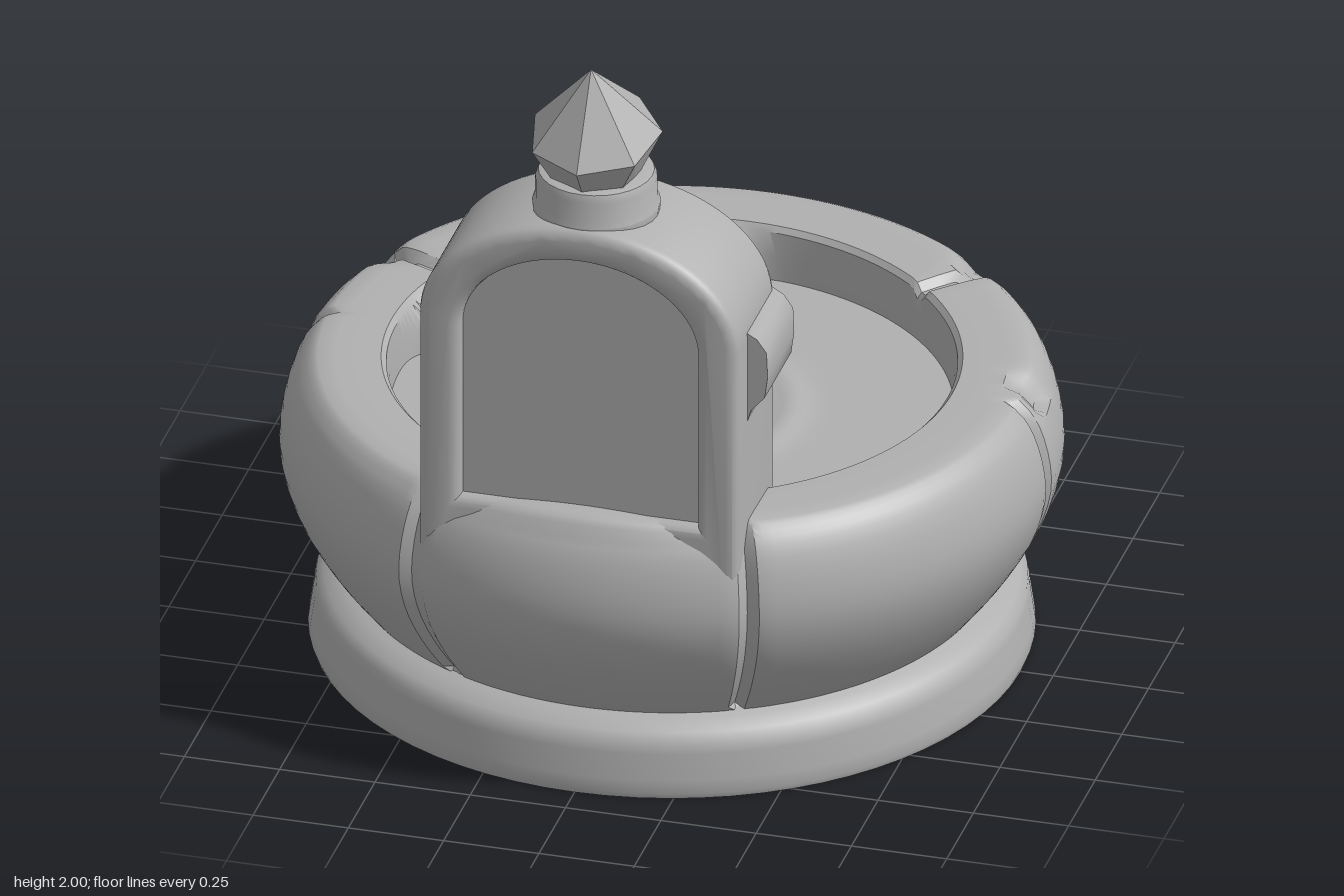
import * as THREE from 'three';
import { mergeVertices, toCreasedNormals } from 'three/addons/utils/BufferGeometryUtils.js';
import { RoundedBoxGeometry } from 'three/addons/geometries/RoundedBoxGeometry.js';

const stone = new THREE.MeshStandardMaterial({ color: 0xb0b0b0 });
stone.name = 'grey stone';

const bump = (d, w) => Math.exp(-(d * d) / (w * w));
const angleGap = (a, b) => Math.atan2(Math.sin(a - b), Math.cos(a - b));

// Lathe with a rule that moves its vertices, then smooth normals with sharp edges kept
function turned(points, segments, rule) {
  let geo = new THREE.LatheGeometry(points.map(([r, y]) => new THREE.Vector2(r, y)), segments);
  geo.deleteAttribute('uv');
  geo.deleteAttribute('normal');
  geo = mergeVertices(geo, 1e-5);
  const pos = geo.attributes.position;
  const v = new THREE.Vector3();
  for (let i = 0; rule && i < pos.count; i++) {
    rule(v.fromBufferAttribute(pos, i));
    pos.setXYZ(i, v.x, v.y, v.z);
  }
  return toCreasedNormals(geo, 0.6);
}

// Round-topped outline
function arch(Type, w, bottom, spring, top) {
  const s = new Type();
  s.moveTo(-w, bottom);
  s.lineTo(w, bottom);
  s.lineTo(w, spring);
  s.absellipse(0, spring, w, top - spring, 0, Math.PI, false, 0);
  s.lineTo(-w, bottom);
  return s;
}

function extrude(shape, depth, bevel, z) {
  const geo = new THREE.ExtrudeGeometry(shape, {
    depth, bevelEnabled: bevel > 0, bevelSize: bevel, bevelThickness: bevel, bevelSegments: 3, curveSegments: 20
  });
  geo.translate(0, 0, z);
  return toCreasedNormals(geo, 0.7);
}

export function createModel() {
  const model = new THREE.Group();
  const add = (name, geo, x = 0, y = 0, z = 0, parent = model) => {
    const mesh = new THREE.Mesh(geo, stone);
    mesh.name = name;
    mesh.position.set(x, y, z);
    parent.add(mesh);
    return mesh;
  };

  // Foot
  add('foot', turned([[0, 0], [0.915, 0], [0.92, 0.015], [0.915, 0.05], [0.905, 0.12], [0.9, 0.145],
    [0.88, 0.17], [0.84, 0.19], [0.8, 0.205]], 72));

  // Basin with cracks between its stone blocks
  const profile = new THREE.CatmullRomCurve3([[0.8, 0.17], [0.83, 0.205], [0.9, 0.3], [0.965, 0.42], [0.992, 0.53],
    [0.98, 0.64], [0.945, 0.73], [0.91, 0.768]].map(([r, y]) => new THREE.Vector3(r, y, 0)))
    .getPoints(20).map(p => [p.x, p.y]);
  profile.push([0.895, 0.775], [0.85, 0.776], [0.79, 0.776], [0.735, 0.774], [0.722, 0.76], [0.715, 0.7], [0.71, 0.58]);
  const cracks = [-0.46, 0.47, Math.PI / 2, -Math.PI / 2, -1.98, 2.37, -2.66];
  const rimCracks = [-1.98, 2.37];
  const chips = [[1.7, 0.06], [-2.66, 0.05], [2.42, 0.05], [-1.95, 0.05]];
  const rubble = [-3.0, -1.85];
  add('basin', turned(profile, 240, v => {
    const r = Math.hypot(v.x, v.z);
    const a = Math.atan2(v.x, v.z);
    let newR = r;
    if (r > 0.82 && v.y > 0.2) for (const c of cracks) newR -= 0.03 * bump(angleGap(a, c), 0.018);
    if (v.y > 0.73) for (const c of rimCracks) v.y -= 0.03 * bump(angleGap(a, c), 0.025);
    if (r > 0.87 && v.y > 0.7) {
      for (const [c, w] of chips) {
        v.y -= 0.022 * bump(angleGap(a, c), w);
        newR -= 0.025 * bump(angleGap(a, c), w);
      }
    }
    if (r < 0.718) for (const c of rubble) newR -= 0.09 * bump(angleGap(a, c), 0.12);
    if (v.y > 0.75 && r > 0.82) v.y += 0.02 * bump(a, 0.35);
    v.x *= newR / r;
    v.z *= newR / r;
  }));

  // Water surface with rings around the stream
  const rings = Array.from({ length: 37 }, (_, i) => [0.72 * (1 - i / 36), 0.63]);
  add('water', turned(rings, 72, v => {
    const d = Math.hypot(v.x + 0.07, v.z);
    v.y += 0.014 * bump(d - 0.37, 0.04) + 0.012 * bump(d - 0.19, 0.04);
  }));

  // Upright slab: round-topped frame around a recessed panel
  const frame = arch(THREE.Shape, 0.39, 0.5, 1.3, 1.57);
  frame.holes.push(arch(THREE.Path, 0.34, 0.76, 1.28, 1.535));
  add('slabFrame', extrude(frame, 0.3, 0.03, 0.56));
  add('slabPanel', extrude(arch(THREE.Shape, 0.335, 0.6, 1.28, 1.53), 0.29, 0, 0.565));

  // Stone lump on the side of the slab
  const lump = new THREE.Shape([[0.37, 1.05], [0.415, 1.05], [0.43, 1.1], [0.465, 1.14], [0.473, 1.2], [0.47, 1.27],
    [0.445, 1.305], [0.41, 1.325], [0.37, 1.325]].map(([x, y]) => new THREE.Vector2(x, y)));
  add('sideLump', extrude(lump, 0.25, 0, 0.545));

  // Collar and cut finial
  add('collar', turned([[0, 1.57], [0.16, 1.57], [0.163, 1.6], [0.155, 1.615], [0.155, 1.67], [0.147, 1.69],
    [0.13, 1.695], [0, 1.695]], 28), 0, 0, 0.71);
  const gem = new THREE.LatheGeometry([[0, 1.66], [0.1, 1.66], [0.172, 1.8], [0, 2]]
    .map(([r, y]) => new THREE.Vector2(r, y)), 7).toNonIndexed();
  const gp = gem.attributes.position;
  for (let i = 0; i < gp.count; i++) {
    const y = gp.getY(i);
    if (y > 1.7 && y < 1.9) gp.setY(i, y - 0.2 * gp.getZ(i));
    if (y > 1.95) gp.setZ(i, 0.035);
  }
  gem.computeVertexNormals();
  add('finial', gem, 0, 0, 0.725);

  // Wall plate with rivets
  add('wallPlate', new RoundedBoxGeometry(0.39, 0.35, 0.1, 3, 0.035), -0.005, 1.115, 0.525);
  for (const x of [-0.145, 0.135]) {
    for (const y of [1.03, 1.225]) {
      const rivet = add('rivet', new THREE.SphereGeometry(0.034, 16, 10), x, y, 0.475);
      rivet.scale.z = 0.8;
    }
  }

  // Spout: thick collar and an open trough, turned slightly aside
  const spout = new THREE.Group();
  spout.name = 'spout';
  spout.position.set(-0.01, 0, 0.49);
  spout.rotation.y = 0.12;
  model.add(spout);
  const trough = new THREE.Shape();
  trough.moveTo(-0.125, 1.16);
  trough.lineTo(-0.125, 1.06);
  trough.quadraticCurveTo(-0.115, 0.98, -0.04, 0.98);
  trough.lineTo(0.04, 0.98);
  trough.quadraticCurveTo(0.115, 0.98, 0.125, 1.06);
  trough.lineTo(0.125, 1.16);
  trough.lineTo(0.075, 1.16);
  trough.lineTo(0.065, 1.06);
  trough.lineTo(-0.065, 1.06);
  trough.lineTo(-0.075, 1.16);
  add('trough', extrude(trough, 0.25, 0.01, -0.285), 0, 0, 0, spout);
  add('spoutCollar', new RoundedBoxGeometry(0.275, 0.235, 0.16, 3, 0.035), 0, 1.09, -0.08, spout);

  // Falling stream, wider than it is thick
  const path = new THREE.CatmullRomCurve3([[1.08, 0.36], [1.075, 0.25], [1.05, 0.17], [0.98, 0.105], [0.88, 0.075],
    [0.76, 0.065], [0.6, 0.06]].map(([y, z]) => new THREE.Vector3(0, y, z)));
  const stream = add('stream', new THREE.TubeGeometry(path, 30, 0.038, 14, false), -0.055);
  stream.scale.x = 1.4;

  // Small splash crown where the stream lands
  for (let i = 0; i < 8; i++) {
    const a = i * Math.PI / 4;
    const drop = add('splash', new THREE.ConeGeometry(0.018, 0.07, 6),
      -0.055 + 0.055 * Math.sin(a), 0.65, 0.055 + 0.045 * Math.cos(a));
    drop.rotation.set(0.35 * Math.cos(a), 0, -0.35 * Math.sin(a));
  }
  return model;
}
